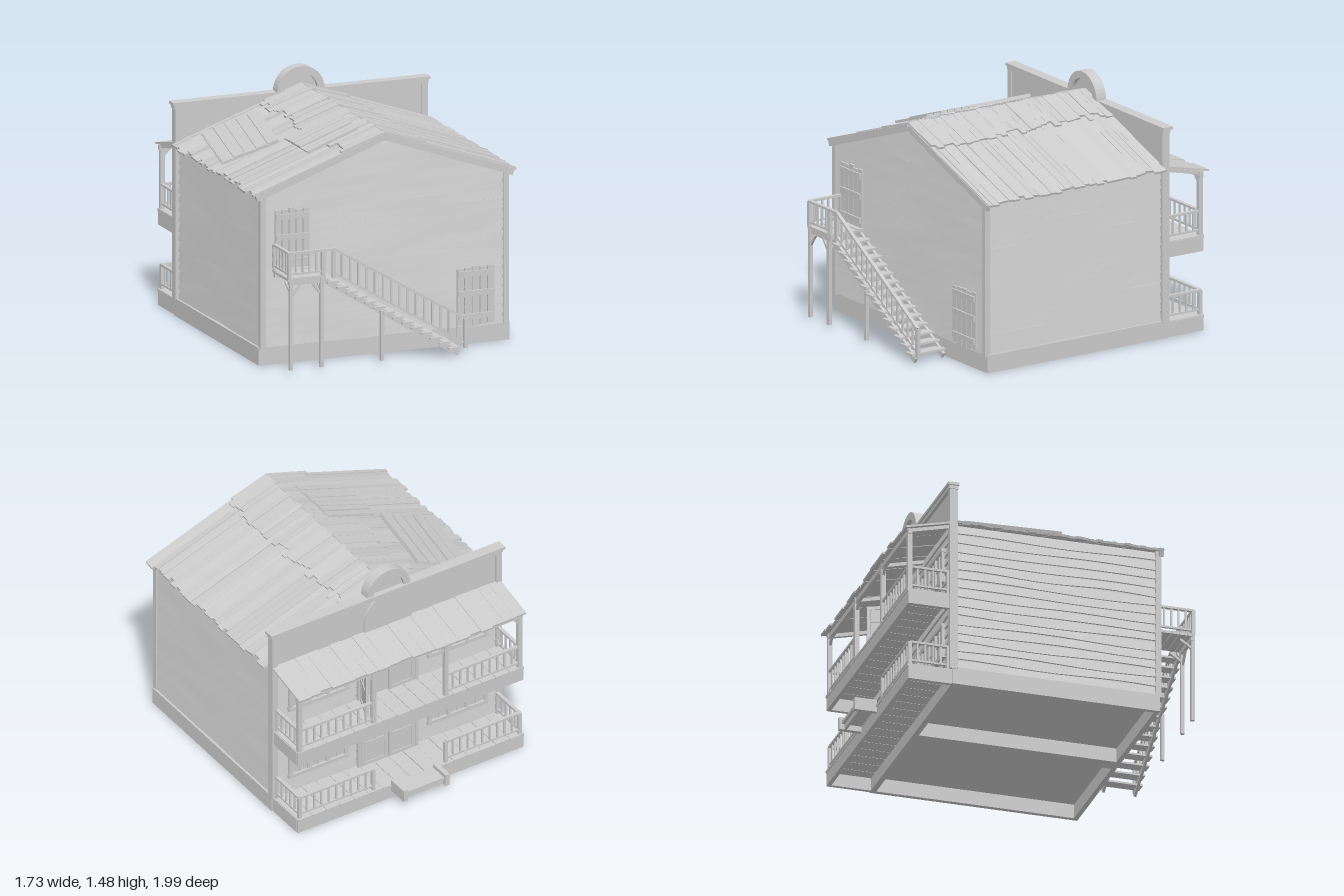
import * as THREE from 'three';

const mat = new THREE.MeshStandardMaterial({ color: 0xcccccc, flatShading: true, side: THREE.DoubleSide });
let seed = 7;
const rnd = (a = 0, b = 1) => {
  seed = (seed * 16807) % 2147483647;
  return a + (b - a) * (seed / 2147483647);
};
const V = (x, y, z) => new THREE.Vector3(x, y, z);

function add(parent, name, geo) {
  const m = new THREE.Mesh(geo, mat);
  m.name = name;
  parent.add(m);
  return m;
}
function sub(parent, name) {
  const g = new THREE.Group();
  g.name = name;
  parent.add(g);
  return g;
}
// axis-aligned box from its limits
function box(parent, name, x0, x1, y0, y1, z0, z1) {
  const m = add(parent, name, new THREE.BoxGeometry(x1 - x0, y1 - y0, z1 - z0));
  m.position.set((x0 + x1) / 2, (y0 + y1) / 2, (z0 + z1) / 2);
  return m;
}
// timber of width w and thickness h running from a to b
function beam(parent, name, a, b, w, h = w) {
  const m = new THREE.Mesh(new THREE.BoxGeometry(w, h, a.distanceTo(b)), mat);
  m.name = name;
  m.position.copy(a).lerp(b, 0.5);
  m.lookAt(b);
  parent.add(m);
  return m;
}
// railing of height h standing on the line a-b
function railing(parent, name, a, b, n, h = 0.15) {
  const g = sub(parent, name), up = (p, y) => V(p.x, p.y + y, p.z);
  beam(g, 'topRail', up(a, h), up(b, h), 0.022, 0.014);
  beam(g, 'bottomRail', up(a, 0.03), up(b, 0.03), 0.014, 0.012);
  for (let i = 0; i <= n; i++) {
    const p = a.clone().lerp(b, i / n), end = i === 0 || i === n;
    beam(g, end ? 'newelPost' : 'baluster', up(p, end ? 0 : 0.03), up(p, h), end ? 0.022 : 0.011);
  }
}
const roofY = x => 1.38 - 0.36 * Math.abs(x);

// lapped boards with uneven lower edges, facing local +z
function siding(parent, name, half, y0, y1, gable) {
  const g = sub(parent, name);
  const lim = y => (gable ? Math.max(0.005, Math.min(half, (1.345 - y) / 0.36)) : half);
  for (let y = y0; y < y1 - 0.02; y += 0.0595) {
    const h = Math.min(0.0595, y1 - y), ph = rnd(0, 6), k = rnd(4, 8), amp = rnd(0.003, 0.008);
    const geo = new THREE.BoxGeometry(half * 2, h, 0.012, 10, 1, 1), p = geo.attributes.position;
    for (let i = 0; i < p.count; i++) {
      const x = p.getX(i), low = p.getY(i) < 0;
      const yy = y + (low ? amp * Math.sin(x * k + ph) : h);
      const l = lim(yy);
      p.setXYZ(i, Math.max(-l, Math.min(l, x)), yy, p.getZ(i) + (low ? 0.014 : 0.002));
    }
    add(g, 'board', geo);
  }
  return g;
}
// rough door of upright planks with cross battens
function plankDoor(parent, name, x0, x1, y0, y1) {
  const g = sub(parent, name), n = 5, w = (x1 - x0) / n, h = y1 - y0;
  for (let i = 0; i < n; i++)
    box(g, 'plank', x0 + i * w + 0.003, x0 + (i + 1) * w - 0.003, y0 + rnd(0, 0.015), y1 - rnd(0, 0.02), 0.73, 0.745);
  for (const t of [0.12, 0.5, 0.82])
    box(g, 'batten', x0 + 0.01, x1 - 0.01, y0 + h * t, y0 + h * t + 0.035, 0.743, 0.755);
}
// panelled leaf with a glazed top, hinged at local x = 0
function doorLeaf(parent, name, w, h, x, y, z, turn) {
  const g = sub(parent, name), t = 0.01, s = 0.022;
  g.position.set(x, y, z);
  g.rotation.y = turn;
  box(g, 'panel', 0, w, 0, h, -0.004, 0.004);
  for (const a of [0, w - s]) box(g, 'stile', a, a + s, 0, h, -t, t);
  for (const b of [0, h * 0.42, h - s]) box(g, 'rail', s, w - s, b, b + s, -t, t);
  box(g, 'glazingBar', w / 2 - 0.004, w / 2 + 0.004, h * 0.45, h - s, -0.008, 0.008);
  box(g, 'glazingBar', s, w - s, h * 0.7, h * 0.7 + 0.008, -0.008, 0.008);
}
// three-light window on the back wall
function backWindow(parent, cx, y0, y1) {
  const g = sub(parent, 'window'), hw = 0.2, z = -0.6;
  box(g, 'pane', cx - hw, cx + hw, y0, y1, z - 0.004, z + 0.01);
  for (const y of [y0, y1]) box(g, 'frameRail', cx - hw - 0.015, cx + hw + 0.015, y - 0.012, y + 0.012, z - 0.02, z + 0.01);
  for (let i = 0; i <= 6; i++) {
    const x = cx - hw + (i * hw) / 3, t = i % 2 ? 0.004 : 0.012;
    box(g, 'upright', x - t, x + t, y0, y1, z - (i % 2 ? 0.01 : 0.017), z);
  }
  box(g, 'glazingBar', cx - hw, cx + hw, (y0 + y1) / 2 - 0.004, (y0 + y1) / 2 + 0.004, z - 0.01, z);
}

function house(root) {
  const g = sub(root, 'house');
  // open-bottomed foundation with a middle joist
  box(g, 'foundationFront', -0.82, 0.82, 0, 0.11, 0.7, 0.73);
  box(g, 'foundationBack', -0.82, 0.82, 0, 0.11, -0.58, -0.55);
  for (const s of [-1, 1]) box(g, 'foundationSide', s * 0.805 - 0.015, s * 0.805 + 0.015, 0, 0.11, -0.56, 0.72);
  box(g, 'middleJoist', -0.05, 0.05, 0, 0.1, -0.55, 0.7);
  box(g, 'floor', -0.8, 0.8, 0.09, 0.105, -0.56, 0.71);
  // gabled core
  const s = new THREE.Shape([[-0.785, 0.1], [0.785, 0.1], [0.785, 1.062], [0, 1.345], [-0.785, 1.062]].map(p => new THREE.Vector2(...p)));
  add(g, 'walls', new THREE.ExtrudeGeometry(s, { depth: 1.275, bevelEnabled: false })).position.z = -0.56;
  siding(g, 'frontSiding', 0.79, 0.11, 1.34, true).position.z = 0.715;
  for (const k of [-1, 1]) {
    const side = siding(g, 'sideSiding', 0.64, 0.11, 1.07, false);
    side.position.set(k * 0.787, 0, 0.0775);
    side.rotation.y = (k * Math.PI) / 2;
    box(g, 'cornerPost', k * 0.795 - 0.018, k * 0.795 + 0.018, 0.1, 1.07, 0.705, 0.74);
    beam(g, 'rakeBoard', V(0, 1.345, 0.735), V(k * 0.84, 1.043, 0.735), 0.025, 0.04);
  }
  plankDoor(g, 'upperPlankDoor', -0.72, -0.49, 0.57, 0.97);
  plankDoor(g, 'lowerPlankDoor', 0.47, 0.72, 0.11, 0.49);
}

function roof(root) {
  const g = sub(root, 'roof');
  for (const s of [-1, 1])
    for (let z = -0.555; z < 0.74;) {
      const w = Math.min(rnd(0.025, 0.055), 0.745 - z), zc = z + w / 2, e = rnd(0.83, 0.865), m = rnd(0.24, 0.3);
      const a = rnd(-0.014, -0.006), b = rnd(-0.006, 0);
      beam(g, 'lowerPlank', V(s * 0.2, roofY(0.2) + a - 0.006, zc), V(s * e, roofY(e) + a, zc), w, 0.014).rotateZ(rnd(-0.12, 0.12));
      beam(g, 'upperPlank', V(s * -0.005, 1.38 + b - 0.007, zc), V(s * m, roofY(m) + b, zc), w, 0.014).rotateZ(rnd(-0.1, 0.1));
      z += w;
    }
  // loose repair sheets
  const sheet = (x, z, turn, w, l, n, along) => {
    const tilt = sub(g, 'repairSheet'), flat = sub(tilt, 'sheet');
    tilt.position.set(x, roofY(x) + 0.014, z);
    tilt.rotation.z = 0.345;
    flat.rotation.y = turn;
    box(flat, 'base', -w / 2, w / 2, -0.006, 0.004, -l / 2, l / 2);
    for (let i = 0; i < n; i++) {
      const t = (i + 0.5) / n - 0.5, d = (along ? w : l) / n / 2.3, y = rnd(0.008, 0.016);
      if (along) box(flat, 'plank', t * w - d, t * w + d, 0, y, -l / 2, l / 2);
      else box(flat, 'plank', -w / 2 - 0.01, w / 2 + 0.01, 0, y, t * l - d, t * l + d);
    }
  };
  sheet(-0.575, -0.14, -0.19, 0.37, 0.59, 5, true);
  sheet(-0.255, 0.37, 0, 0.34, 0.36, 7, false);
}

function falseFront(root) {
  const g = sub(root, 'falseFront');
  box(g, 'wall', -0.82, 0.82, 0, 1.31, -0.585, -0.555);
  const boards = siding(g, 'backSiding', 0.8, 0.11, 1.07, false);
  boards.position.z = -0.58;
  boards.rotation.y = Math.PI;
  for (const s of [-1, 1]) box(g, 'edgeTrim', s * 0.805 - 0.02, s * 0.805 + 0.02, 0.1, 1.31, -0.6, -0.55);
  box(g, 'corniceMoulding', -0.83, 0.83, 1.29, 1.312, -0.605, -0.55);
  box(g, 'cornice', -0.84, 0.84, 1.312, 1.33, -0.615, -0.545);
  // round crest with a thin filling and a plaque below
  const ring = new THREE.Shape();
  ring.absarc(0, 0, 0.155, 0, Math.PI, false);
  ring.absarc(0, 0, 0.11, Math.PI, 0, true);
  add(g, 'crestArch', new THREE.ExtrudeGeometry(ring, { depth: 0.07, bevelEnabled: false, curveSegments: 10 })).position.set(-0.01, 1.325, -0.605);
  const half = new THREE.Shape();
  half.absarc(0, 0, 0.12, 0, Math.PI, false);
  add(g, 'crestFilling', new THREE.ExtrudeGeometry(half, { depth: 0.02, bevelEnabled: false, curveSegments: 10 })).position.set(-0.01, 1.325, -0.58);
  const plaque = new THREE.Shape();
  plaque.moveTo(-0.17, -0.08);
  plaque.lineTo(0.17, -0.08);
  plaque.absarc(0, 0, 0.17, 0, Math.PI, false);
  add(g, 'plaque', new THREE.ExtrudeGeometry(plaque, { depth: 0.015, bevelEnabled: false, curveSegments: 10 })).position.set(-0.01, 1.14, -0.598);
  // windows and double doors on both floors
  for (const y of [0.1, 0.6]) {
    for (const x of [-0.5, 0.5]) backWindow(g, x, y + 0.13, y + 0.33);
    box(g, 'doorway', -0.2, 0.2, y, y + 0.37, -0.602, -0.58);
    for (const s of [-1, 1]) box(g, 'doorJamb', s * 0.205 - 0.012, s * 0.205 + 0.012, y, y + 0.37, -0.615, -0.58);
    box(g, 'doorHead', -0.22, 0.22, y + 0.36, y + 0.385, -0.615, -0.58);
    doorLeaf(g, 'rightLeaf', 0.185, 0.355, -0.19, y, -0.606, 0);
    doorLeaf(g, 'leftLeaf', 0.185, 0.355, 0.19, y, -0.606, y > 0.5 ? 1.2 : Math.PI);
  }
}

function porch(root) {
  const g = sub(root, 'porch');
  for (const y of [0.1, 0.6]) {
    for (let i = 0; i < 16; i++) box(g, 'deckPlank', -0.81 + i * 0.10125, -0.712 + i * 0.10125, y - 0.018, y - rnd(0, 0.004), -0.865, -0.58);
    box(g, 'deckFascia', -0.81, 0.81, y - 0.1, y - 0.005, -0.86, -0.835);
    for (const s of [-1, 1]) {
      box(g, 'deckSide', s * 0.8 - 0.012, s * 0.8 + 0.012, y - 0.1, y - 0.005, -0.85, -0.585);
      railing(g, 'sideRailing', V(s * 0.79, y, -0.6), V(s * 0.79, y, -0.845), 5);
      railing(g, 'backRailing', V(s * 0.79, y, -0.845), V(s * 0.26, y, -0.845), 10);
    }
  }
  // upper posts with knee braces
  for (const x of [-0.79, -0.26, 0.26, 0.79]) {
    beam(g, 'post', V(x, 0.6, -0.845), V(x, 1, -0.845), 0.028);
    for (const s of [-1, 1]) if (Math.abs(x + s * 0.06) < 0.8) beam(g, 'brace', V(x, 0.92, -0.845), V(x + s * 0.06, 0.985, -0.845), 0.016);
    beam(g, 'rafter', V(x, 1.05, -0.59), V(x, 0.985, -0.86), 0.022);
  }
  box(g, 'postBeam', -0.81, 0.81, 0.965, 0.995, -0.857, -0.833);
  for (let i = 0; i < 20; i++) {
    const x = -0.779 + i * 0.082, z = -0.87 - rnd(0, 0.025);
    beam(g, 'roofPlank', V(x, 1.07 + rnd(-0.003, 0.003), -0.585), V(x, 1.002, z), 0.081, 0.012);
  }
  // entrance step
  box(g, 'stepTread', -0.17, 0.12, 0.085, 0.105, -0.985, -0.86);
  box(g, 'stepRiser', -0.17, 0.12, 0.05, 0.09, -0.97, -0.955);
  for (const x of [-0.175, 0.125]) box(g, 'stepCheek', x - 0.015, x + 0.015, 0.05, 0.13, -1, -0.86);
}

function stairs(root) {
  const g = sub(root, 'outsideStairs');
  // landing on posts
  for (let i = 0; i < 5; i++) box(g, 'landingPlank', -0.73, -0.485, 0.572, 0.588 + rnd(0, 0.004), 0.735 + i * 0.049, 0.78 + i * 0.049);
  for (const z of [0.75, 0.965]) box(g, 'landingBeam', -0.725, -0.49, 0.545, 0.573, z - 0.01, z + 0.01);
  for (const x of [-0.71, -0.51]) {
    beam(g, 'landingPost', V(x, 0.02, 0.97), V(x, 0.575, 0.97), 0.022);
    beam(g, 'crossBrace', V(x, 0.47, 0.97), V(x + (x < -0.6 ? 0.06 : -0.06), 0.55, 0.97), 0.014);
    beam(g, 'wallBrace', V(x, 0.5, 0.965), V(x, 0.55, 0.89), 0.014);
  }
  beam(g, 'stairPost', V(-0.115, 0.02, 0.97), V(-0.115, 0.33, 0.97), 0.022);
  railing(g, 'landingSideRailing', V(-0.72, 0.585, 0.74), V(-0.72, 0.585, 0.97), 5, 0.16);
  railing(g, 'landingFrontRailing', V(-0.72, 0.585, 0.97), V(-0.5, 0.585, 0.97), 5, 0.16);
  beam(g, 'railLink', V(-0.5, 0.745, 0.97), V(-0.42, 0.745, 0.97), 0.022, 0.014);
  // flight
  for (const z of [0.755, 0.955]) beam(g, 'stringer', V(-0.49, 0.555, z), V(0.39, 0.012, z), 0.016, 0.035);
  for (let i = 0; i < 14; i++) {
    const t = i / 13, x = -0.435 + t * 0.79, y = 0.54 - t * 0.49;
    box(g, 'tread', x - 0.037, x + 0.037, y - 0.006, y + 0.006, 0.74, 0.98 + rnd(0, 0.01));
  }
  railing(g, 'stairRailing', V(-0.43, 0.565, 0.97), V(0.43, 0.045, 0.97), 16, 0.18);
}

export function createModel() {
  const root = new THREE.Group();
  root.name = 'frontierHouse';
  [house, roof, falseFront, porch, stairs].forEach(build => build(root));
  return root;
}
